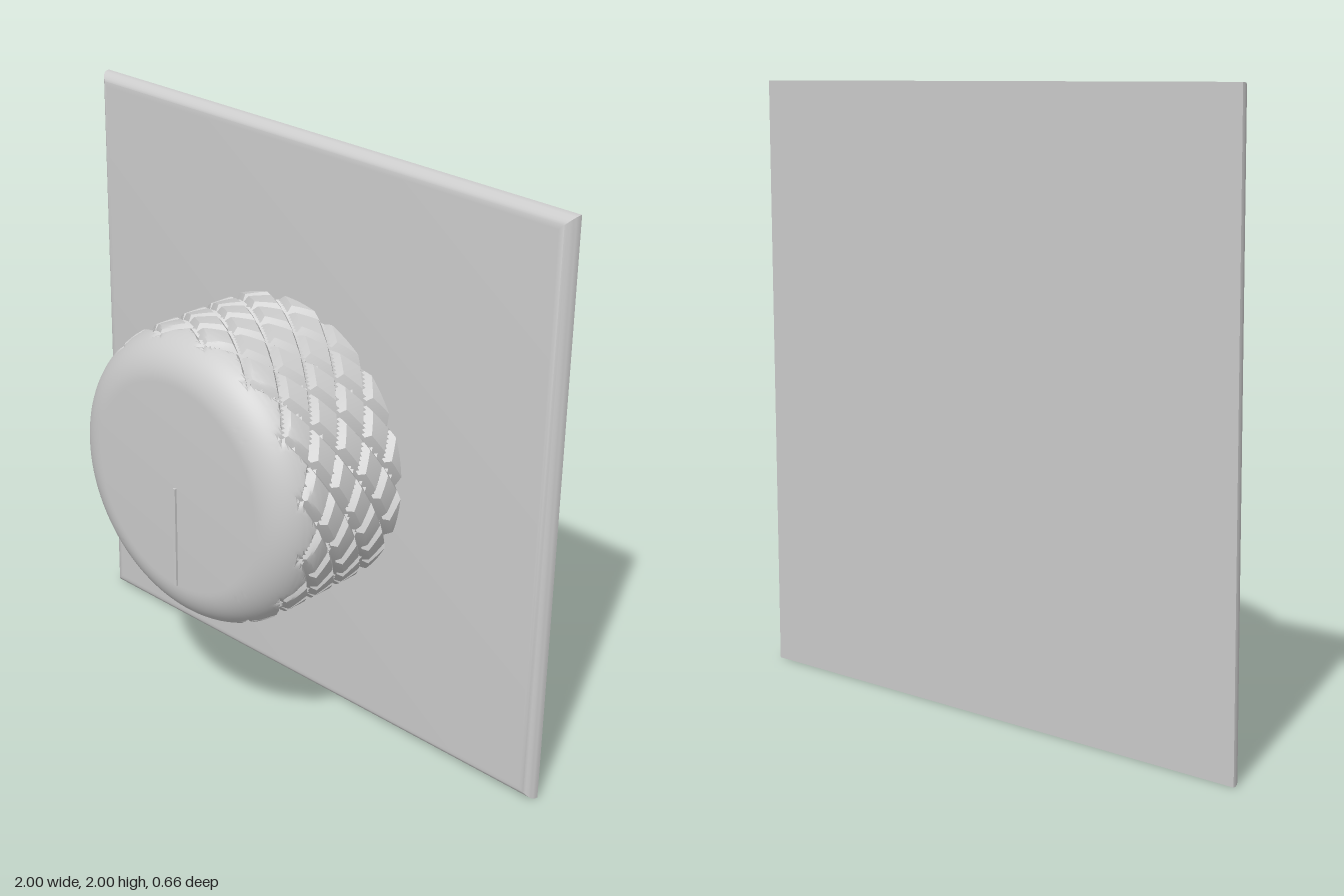
import * as THREE from 'three';
import { toCreasedNormals } from 'three/addons/utils/BufferGeometryUtils.js';

const PLATE_BACK = -0.328, PLATE_FRONT = -0.282;
const KNOB_BACK = -0.18, KNOB_FRONT = 0.32, RADIUS = 0.5, FILLET = 0.15;
const STARTS = 15, PITCH = 0.12, SUB = 16;        // knurl helices, axial pitch, grid steps per diamond
const GROOVE_DEPTH = 0.027, GROOVE_HALF = 0.0195;

// Square plate with a rounded front edge: a four-sided lathe gives mitred corners
function plateGeometry() {
  const e = 0.043, pts = [new THREE.Vector2(0, PLATE_BACK), new THREE.Vector2(1, PLATE_BACK)];
  for (let i = 0; i <= 8; i++) {
    const a = (i / 8) * Math.PI / 2;
    pts.push(new THREE.Vector2(1 - e + e * Math.cos(a), PLATE_FRONT - e + e * Math.sin(a)));
  }
  pts.push(new THREE.Vector2(0, PLATE_FRONT));
  pts.forEach(p => { p.x *= Math.SQRT2; });
  const g = new THREE.LatheGeometry(pts, 4, Math.PI / 4);
  g.rotateX(Math.PI / 2);
  return toCreasedNormals(g, 0.6);
}

// Radius of the knurled envelope: V grooves along two crossing sets of helices
function knurlRadius(angle, z) {
  const u = angle * STARTS / (2 * Math.PI) - 0.5, v = (z - 0.24) / PITCH;
  const toLine = f => Math.abs(f - Math.round(f)) * 0.104;
  const d = Math.min(toLine(u + v), toLine(u - v));
  return RADIUS - GROOVE_DEPTH * Math.max(0, 1 - d / GROOVE_HALF);
}

// Knob surface: rings along the axis, each cut by the knurl envelope
function knobGeometry() {
  const rings = [[0, KNOB_BACK]];
  const zc = KNOB_FRONT - FILLET, rc = RADIUS - FILLET;
  const step = PITCH / SUB;
  for (let i = 0; i <= 59; i++) {
    const z = KNOB_BACK + i * step, dz = Math.max(0, z - zc);
    rings.push([rc + Math.sqrt(FILLET * FILLET - dz * dz), z]);
  }
  const a0 = Math.asin((rings[rings.length - 1][1] - zc) / FILLET);
  for (let i = 1; i <= 10; i++) {
    const a = a0 + (Math.PI / 2 - a0) * i / 10;
    rings.push([rc + FILLET * Math.cos(a), zc + FILLET * Math.sin(a)]);
  }
  rings.push([0, KNOB_FRONT]);

  const n = STARTS * SUB, pos = [];
  const radius = (j, i) => Math.min(rings[j][0], knurlRadius(((i % n) / n) * Math.PI * 2, rings[j][1]));
  const point = (j, i) => {
    const a = ((i % n) / n) * Math.PI * 2, r = radius(j, i);
    return [r * Math.cos(a), r * Math.sin(a), rings[j][1]];
  };
  const last = rings.length - 2;
  for (let j = 0; j <= last; j++) {
    for (let i = 0; i < n; i++) {
      const a = point(j, i), b = point(j, i + 1), c = point(j + 1, i + 1), d = point(j + 1, i);
      if (j === 0) pos.push(...a, ...c, ...d);
      else if (j === last) pos.push(...a, ...b, ...c);
      else {
        // split each cell along the diagonal that follows the groove
        const ac = Math.abs(radius(j, i) - radius(j + 1, i + 1));
        const bd = Math.abs(radius(j, i + 1) - radius(j + 1, i));
        if (ac <= bd) pos.push(...a, ...b, ...c, ...a, ...c, ...d);
        else pos.push(...a, ...b, ...d, ...b, ...c, ...d);
      }
    }
  }
  const g = new THREE.BufferGeometry();
  g.setAttribute('position', new THREE.Float32BufferAttribute(pos, 3));
  return toCreasedNormals(g, 0.45);
}

export function createModel() {
  const group = new THREE.Group();
  const grey = new THREE.MeshStandardMaterial({ color: 0xcccccc });
  const add = (name, geometry, x, y, z) => {
    const mesh = new THREE.Mesh(geometry, grey);
    mesh.name = name;
    mesh.position.set(x, y, z);
    group.add(mesh);
    return mesh;
  };

  add('mountingPlate', plateGeometry(), 0, 1, 0);

  // Shaft between plate and knob
  const shaftLength = KNOB_BACK - PLATE_FRONT + 0.02;
  const shaft = new THREE.CylinderGeometry(0.13, 0.13, shaftLength, 48).rotateX(Math.PI / 2);
  add('shaft', shaft, 0, 1, (KNOB_BACK + PLATE_FRONT) / 2);

  add('knurledKnob', knobGeometry(), 0, 1, 0);

  // Thin pointer line from the centre of the knob face downwards
  add('pointerLine', new THREE.BoxGeometry(0.01, 0.35, 0.016), 0, 0.825, KNOB_FRONT);
  return group;
}
